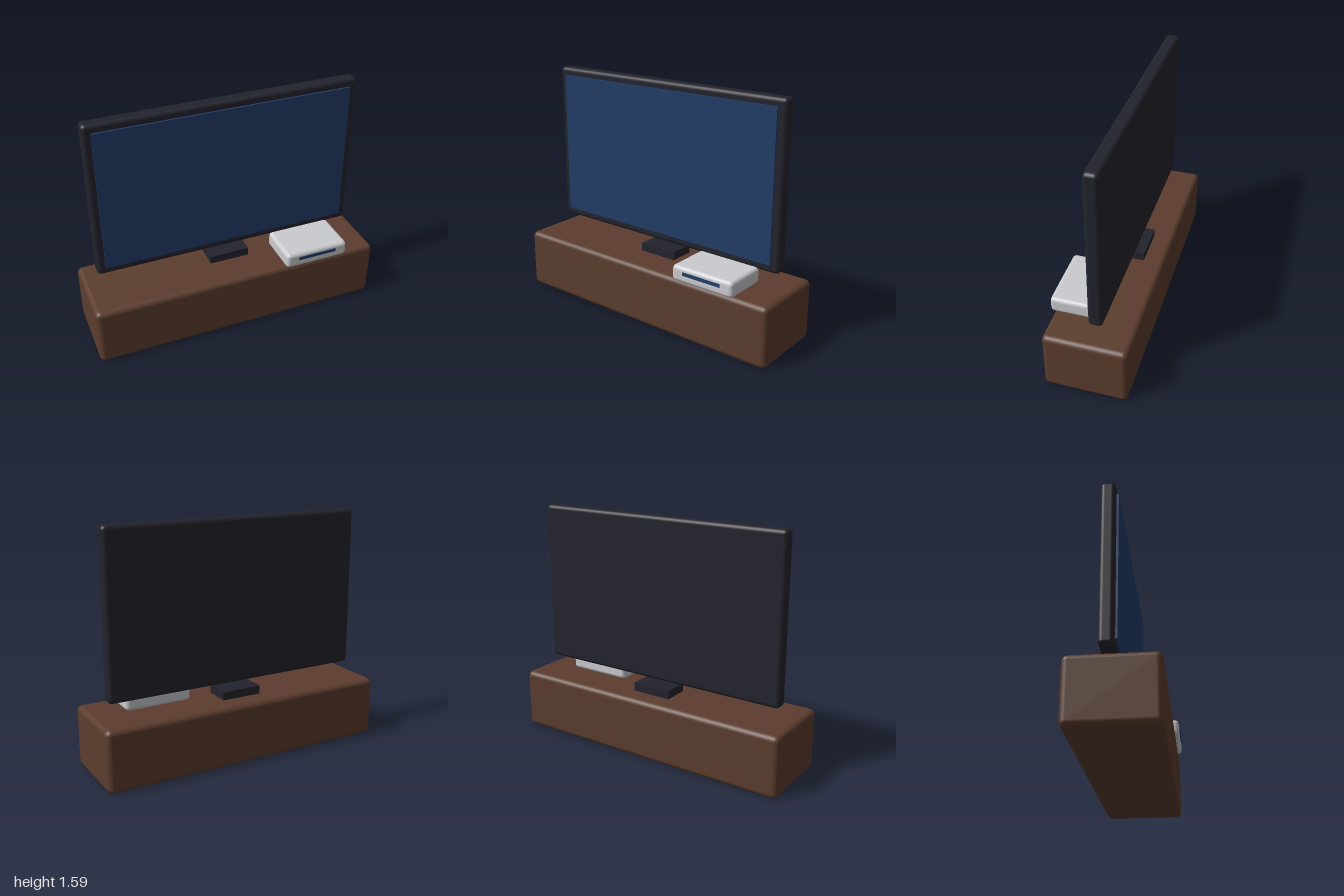
import * as THREE from 'three';
import { RoundedBoxGeometry } from 'three/addons/geometries/RoundedBoxGeometry.js';

function material(name, color) {
  const m = new THREE.MeshStandardMaterial({ color });
  m.name = name;
  return m;
}

export function createModel() {
  const wood = material('brownWood', 0x5c3d2e);
  const black = material('blackPlastic', 0x23232d);
  const blue = material('screenBlue', 0x223d68);
  const silver = material('lightGrey', 0xcbccd0);

  const model = new THREE.Group();
  model.name = 'televisionOnCabinet';

  // Box given by its lower and upper corners, with optional rounded edges
  function addBox(name, mat, [x0, y0, z0], [x1, y1, z1], radius = 0) {
    const size = [x1 - x0, y1 - y0, z1 - z0];
    const geometry = radius
      ? new RoundedBoxGeometry(...size, 4, radius)
      : new THREE.BoxGeometry(...size);
    const mesh = new THREE.Mesh(geometry, mat);
    mesh.name = name;
    mesh.position.set((x0 + x1) / 2, (y0 + y1) / 2, (z0 + z1) / 2);
    model.add(mesh);
  }

  // Low cabinet
  addBox('cabinet', wood, [-1, 0, -0.286], [1, 0.41, 0.259], 0.036);

  // Television: foot, body and raised screen
  addBox('televisionFoot', black, [-0.138, 0.4, -0.15], [0.138, 0.466, 0.027]);
  addBox('televisionBody', black, [-0.907, 0.503, -0.105], [0.907, 1.593, -0.013], 0.027);
  addBox('screen', blue, [-0.853, 0.56, -0.022], [0.853, 1.54, 0]);

  // Media player with a disc slot on its front
  addBox('mediaPlayer', silver, [0.317, 0.41, -0.034], [0.77, 0.518, 0.281], 0.027);
  addBox('discSlot', blue, [0.405, 0.466, 0.277], [0.682, 0.488, 0.286]);

  return model;
}
